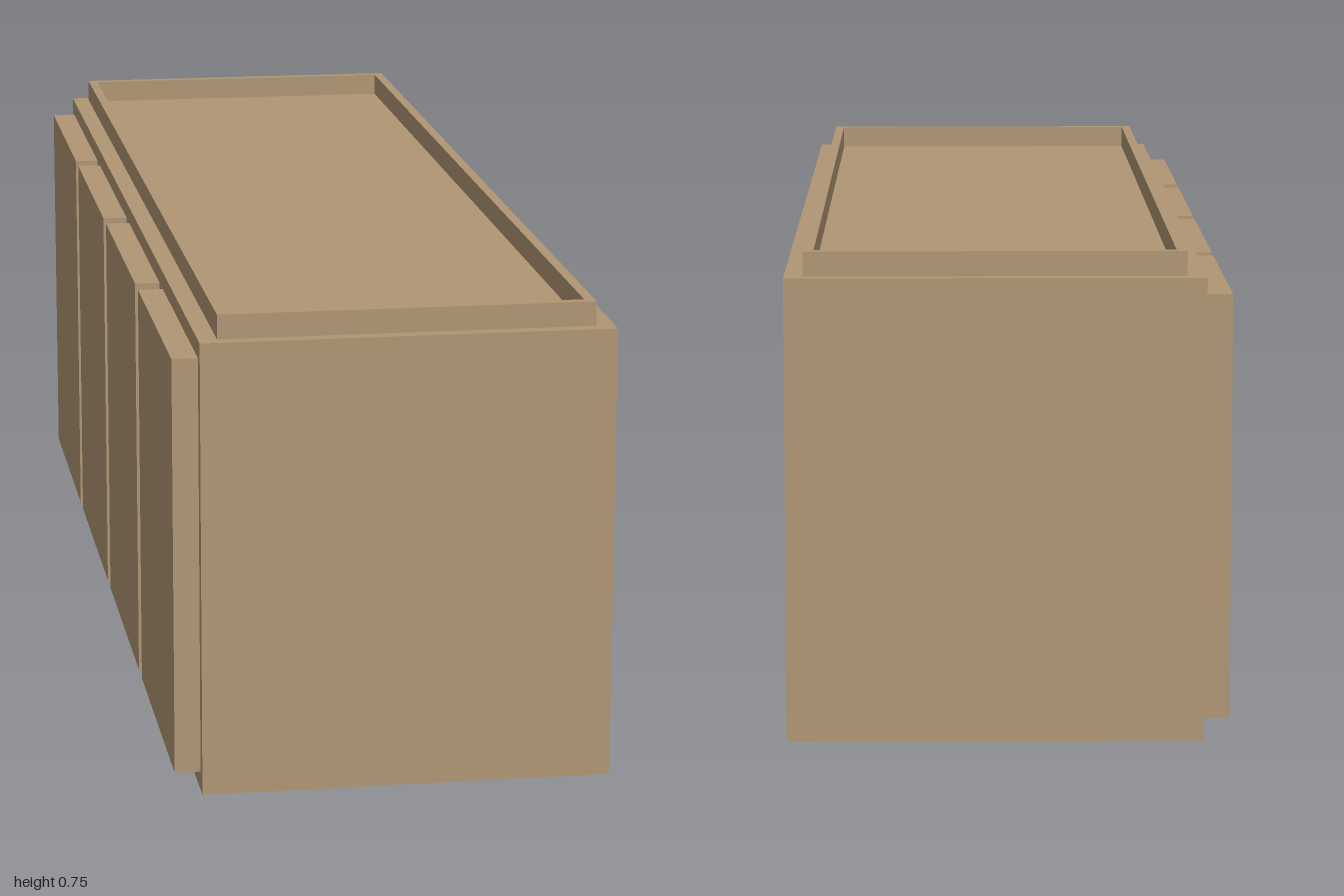
import * as THREE from 'three';

const wood = new THREE.MeshStandardMaterial({ color: 0xb09674 });
wood.name = 'tan wood';

function box(name, x0, x1, y0, y1, z0, z1) {
  const mesh = new THREE.Mesh(new THREE.BoxGeometry(x1 - x0, y1 - y0, z1 - z0), wood);
  mesh.position.set((x0 + x1) / 2, (y0 + y1) / 2, (z0 + z1) / 2);
  mesh.name = name;
  return mesh;
}

// Trace a centred rectangle on a shape or path
function rect(path, halfX, halfY) {
  path.moveTo(-halfX, -halfY);
  path.lineTo(halfX, -halfY);
  path.lineTo(halfX, halfY);
  path.lineTo(-halfX, halfY);
  path.closePath();
  return path;
}

export function createModel() {
  const group = new THREE.Group();
  group.name = 'cabinet';

  // Main carcass
  const top = 0.714;
  group.add(box('body', -0.299, 0.339, 0, top, -1, 1));

  // Raised lip around the recessed worktop
  const outline = rect(new THREE.Shape(), 0.29, 0.978);
  outline.holes.push(rect(new THREE.Path(), 0.274, 0.962));
  const rimGeometry = new THREE.ExtrudeGeometry(outline, { depth: 0.038, bevelEnabled: false });
  rimGeometry.rotateX(-Math.PI / 2);
  const rim = new THREE.Mesh(rimGeometry, wood);
  rim.position.set(0.02, top, 0);
  rim.name = 'topRim';
  group.add(rim);

  // Four door panels along the right side
  for (let i = 0; i < 4; i++) {
    const z = -0.75 + i * 0.5;
    group.add(box(`door${i + 1}`, -0.339, -0.299, 0.03, 0.686, z - 0.228, z + 0.228));
  }
  return group;
}
